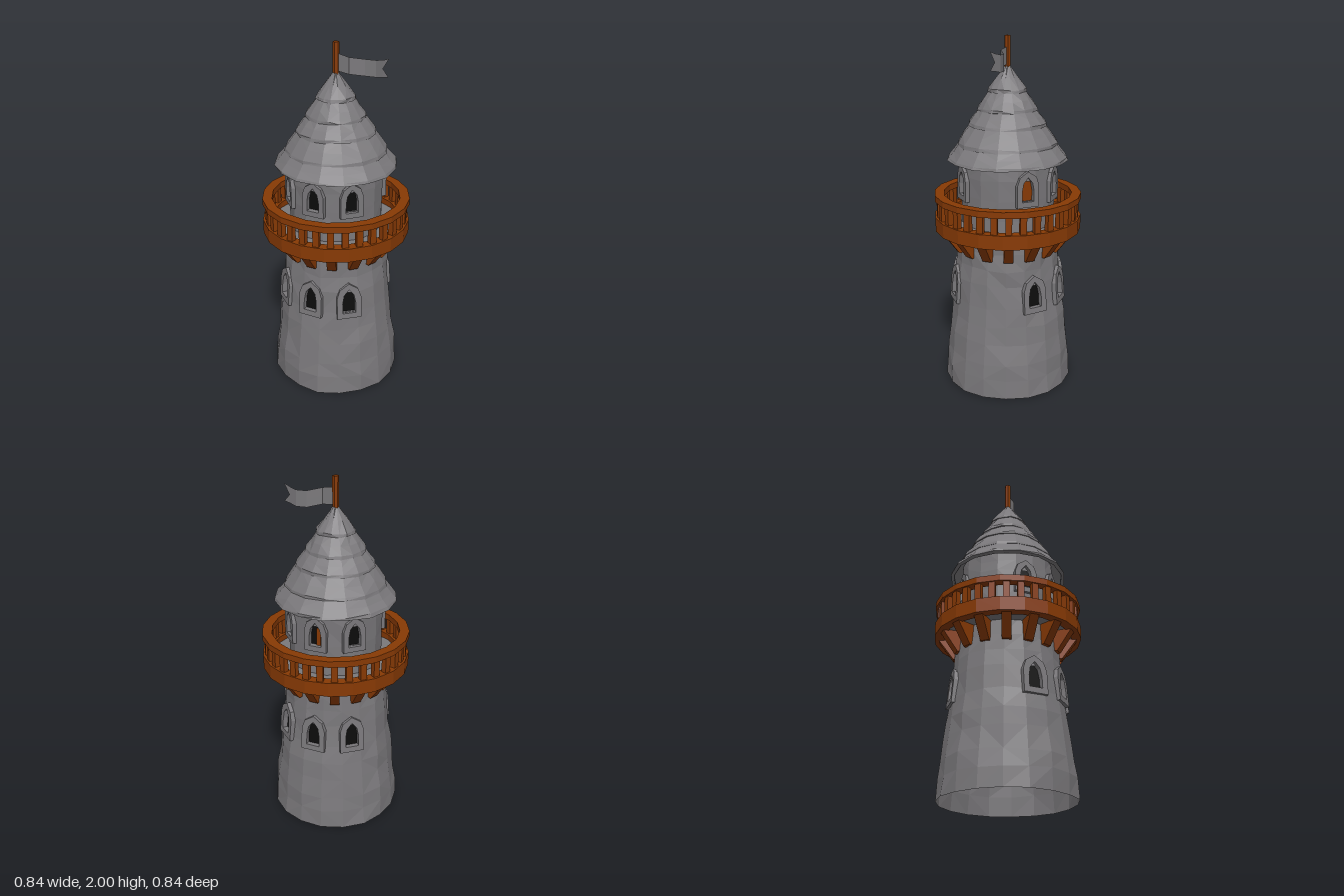
import * as THREE from 'three';

const mat = (name, color) => {
  const m = new THREE.MeshStandardMaterial({ color, flatShading: true, side: THREE.DoubleSide });
  m.name = name;
  return m;
};

export function createModel() {
  const stone = mat('grey stone', 0x7b797c);
  const wood = mat('brown wood', 0x883a04);
  const dark = mat('dark opening', 0x0c0c0c);
  const tower = new THREE.Group();
  tower.name = 'watchtower';

  const add = (name, geo, material, parent = tower) => {
    const mesh = new THREE.Mesh(geo, material);
    mesh.name = name;
    parent.add(mesh);
    return mesh;
  };

  // Seeded random numbers for the rough hewn surfaces
  let seed = 7;
  const rand = () => {
    seed = (seed * 16807) % 2147483647;
    return seed / 2147483647 - 0.5;
  };

  // Rough round shell from [radius, height] rings; isHole(row, side) leaves cells open
  const shell = (rings, sides, rough, isHole = () => false) => {
    const pos = [], index = [];
    rings.forEach(([r, y], i) => {
      const end = i === 0 || i === rings.length - 1;
      for (let j = 0; j < sides; j++) {
        const a = ((j - 0.5) / sides) * Math.PI * 2;
        const rr = r + rand() * rough;
        pos.push(Math.sin(a) * rr, y + (end ? 0 : rand() * rough), Math.cos(a) * rr);
      }
    });
    for (let i = 0; i < rings.length - 1; i++) {
      for (let j = 0; j < sides; j++) {
        if (isHole(i, j)) continue;
        const k = (j + 1) % sides;
        const a = i * sides + j, b = i * sides + k, c = a + sides, d = b + sides;
        if (rand() > 0) index.push(a, b, d, a, d, c);
        else index.push(a, b, c, b, d, c);
      }
    }
    const geo = new THREE.BufferGeometry();
    geo.setAttribute('position', new THREE.Float32BufferAttribute(pos, 3));
    geo.setIndex(index);
    geo.computeVertexNormals();
    return geo;
  };

  // Square-cut ring
  const ring = (inner, outer, y0, y1, sides = 20) => new THREE.LatheGeometry(
    [[inner, y0], [outer, y0], [outer, y1], [inner, y1], [inner, y0]].map((p) => new THREE.Vector2(...p)), sides);

  // Pointed window outline
  const arch = (w, y0, y1, Kind = THREE.Shape) => new Kind([
    [-w, y0], [w, y0], [w, y1 - 0.085], [w * 0.75, y1 - 0.035], [0, y1], [-w * 0.75, y1 - 0.035], [-w, y1 - 0.085],
  ].map((p) => new THREE.Vector2(...p)));

  // Framed window set into the wall at the given compass angle
  const addWindow = (name, degrees, radius, y, scale, tilt, fill) => {
    const pivot = new THREE.Group();
    pivot.name = name;
    pivot.rotation.y = THREE.MathUtils.degToRad(degrees);
    const win = new THREE.Group();
    win.position.set(0, y, radius);
    win.rotation.x = -tilt;
    win.scale.set(scale, scale, 1);
    const frameShape = arch(0.07, -0.105, 0.112);
    frameShape.holes.push(arch(0.038, -0.072, 0.076, THREE.Path));
    add('windowFrame', new THREE.ExtrudeGeometry(frameShape, { depth: 0.038, bevelEnabled: false }), stone, win)
      .position.z = -0.02;
    add('windowOpening', new THREE.ShapeGeometry(arch(0.05, -0.08, 0.085)), fill, win).position.z = -0.012;
    pivot.add(win);
    tower.add(pivot);
    return win;
  };

  // Main tower wall, open at the bottom
  const lowerSides = [0, 2, 7, 9, 11, 16];
  add('towerWall', shell([
    [0.375, 0], [0.368, 0.11], [0.36, 0.2], [0.345, 0.32], [0.334, 0.42], [0.318, 0.53],
    [0.308, 0.66], [0.3, 0.75], [0.292, 0.84], [0.288, 0.96],
  ], 18, 0.013, (i, j) => i === 5 && lowerSides.includes(j)), stone);
  lowerSides.forEach((s) => addWindow('lowerWindow', s * 20, 0.307, 0.605, 1, 0.08, dark));

  // Upper chamber wall; one window is boarded and one has a half shutter
  const upperSides = [0, 2, 6, 8, 10, 14];
  add('chamberWall', shell([
    [0.268, 0.94], [0.266, 1.03], [0.266, 1.14], [0.266, 1.25], [0.266, 1.31], [0.262, 1.41],
  ], 16, 0.008, (i, j) => i === 2 && upperSides.includes(j)), stone);
  upperSides.forEach((s) => {
    const win = addWindow('upperWindow', s * 22.5, 0.262, 1.205, 0.92, 0, s === 6 ? wood : dark);
    if (s === 8) {
      add('shutter', new THREE.BoxGeometry(0.025, 0.11, 0.008), wood, win).position.set(0.012, -0.02, -0.006);
    }
  });

  // Gallery floor, rim and handrail
  add('galleryFloor', ring(0.25, 0.375, 0.925, 0.965), stone);
  add('galleryRim', ring(0.365, 0.42, 0.92, 1.0), wood);
  add('handrail', ring(0.365, 0.42, 1.095, 1.13), wood);

  // Balusters
  for (let i = 0; i < 32; i++) {
    const a = (i / 32) * Math.PI * 2;
    const post = add('baluster', new THREE.BoxGeometry(0.036, 0.11, 0.03), wood);
    post.position.set(Math.sin(a) * 0.391, 1.048, Math.cos(a) * 0.391);
    post.rotation.y = a;
  }

  // Sloping brackets under the gallery: side profile extruded to its width
  const bracketShape = new THREE.Shape([
    [0.27, 0.805], [0.308, 0.805], [0.395, 0.925], [0.27, 0.925],
  ].map((p) => new THREE.Vector2(...p)));
  const bracketGeo = new THREE.ExtrudeGeometry(bracketShape, { depth: 0.052, bevelEnabled: false });
  bracketGeo.translate(0, 0, -0.026);
  for (let i = 0; i < 16; i++) {
    add('bracket', bracketGeo, wood).rotation.y = (i / 16) * Math.PI * 2;
  }

  // Roof in overlapping tiers, each with a thin lip
  const tiers = [[0.342, 1.325], [0.285, 1.41], [0.222, 1.515], [0.168, 1.6], [0.11, 1.7], [0.012, 1.835]];
  for (let i = 0; i < 5; i++) {
    const [r, y] = tiers[i];
    const [r2, y2] = tiers[i + 1];
    const top = i === 4 ? r2 : r2 - 0.01;
    add('roofTier', shell([
      [r - 0.022, y - 0.004], [r, y], [r - 0.004, y + 0.016], [(r + top) / 2, (y + y2) / 2 + 0.008], [top, y2 + 0.006],
    ], 16, 0.007), stone);
  }
  add('roofUnderside', shell([[0.325, 1.322], [0.255, 1.4]], 16, 0), stone);

  // Flagpole
  add('flagpole', new THREE.CylinderGeometry(0.018, 0.018, 0.2, 6), wood).position.y = 1.9;

  // Waving swallow-tailed flag: [x, bottom, top, z] stations
  const stations = [
    [0.01, 1.845, 1.94, 0], [0.08, 1.838, 1.928, 0.008], [0.15, 1.825, 1.915, -0.04],
    [0.21, 1.825, 1.915, -0.045], [0.255, 1.835, 1.925, -0.03],
  ];
  const pos = [], index = [];
  stations.forEach(([x, b, t, z]) => pos.push(x, b, z, x, (b + t) / 2, z, x, t, z));
  for (let i = 0; i < 4; i++) {
    for (let k = 0; k < 2; k++) {
      const a = i * 3 + k;
      index.push(a, a + 3, a + 4, a, a + 4, a + 1);
    }
  }
  pos.push(0.292, 1.84, -0.02, 0.292, 1.938, -0.02);
  index.push(12, 15, 13, 13, 16, 14);
  const flag = new THREE.BufferGeometry();
  flag.setAttribute('position', new THREE.Float32BufferAttribute(pos, 3));
  flag.setIndex(index);
  flag.computeVertexNormals();
  add('flag', flag, stone);

  return tower;
}
